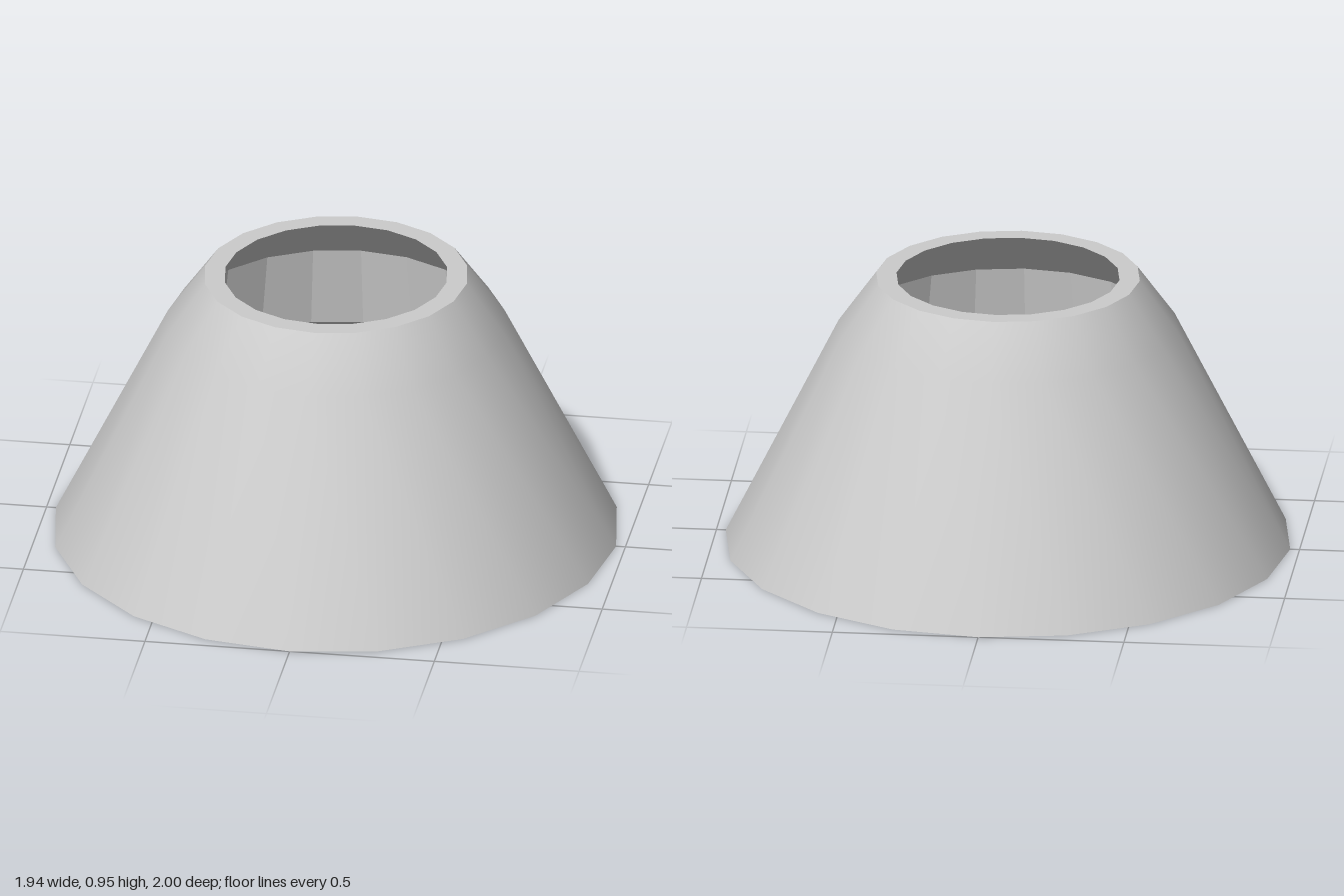
import * as THREE from 'three';

const SIDES = 20;
const WIDTH = 0.968; // the rings are slightly narrower in x than in z

// Sweep a short [radius, height] profile around a 20-sided oval
function band(name, profile, flatShading) {
  const points = profile.map(([r, y]) => new THREE.Vector2(r, y));
  const geometry = new THREE.LatheGeometry(points, SIDES).scale(WIDTH, 1, 1);
  const material = new THREE.MeshStandardMaterial({ color: 0xcccccc, flatShading });
  const mesh = new THREE.Mesh(geometry, material);
  mesh.name = name;
  return mesh;
}

export function createModel() {
  const group = new THREE.Group();
  group.name = 'hollowCone';

  // Corners of the wall section
  const outerFoot = [1, 0], outerBend = [0.6, 0.775], outerTop = [0.467, 0.953];
  const innerTop = [0.395, 0.953], innerShoulder = [0.54, 0.79];
  const innerWaist = [0.585, 0.5], innerFoot = [0.975, 0];

  group.add(
    band('outerWall', [outerFoot, outerBend, outerTop], false), // smooth outside
    band('topRim', [outerTop, innerTop], true),
    // Faceted inside: sloped shoulder, steep collar, flared skirt
    band('innerWall', [innerTop, innerShoulder, innerWaist, innerFoot], true),
    band('bottomRim', [innerFoot, outerFoot], true),
  );
  return group;
}
